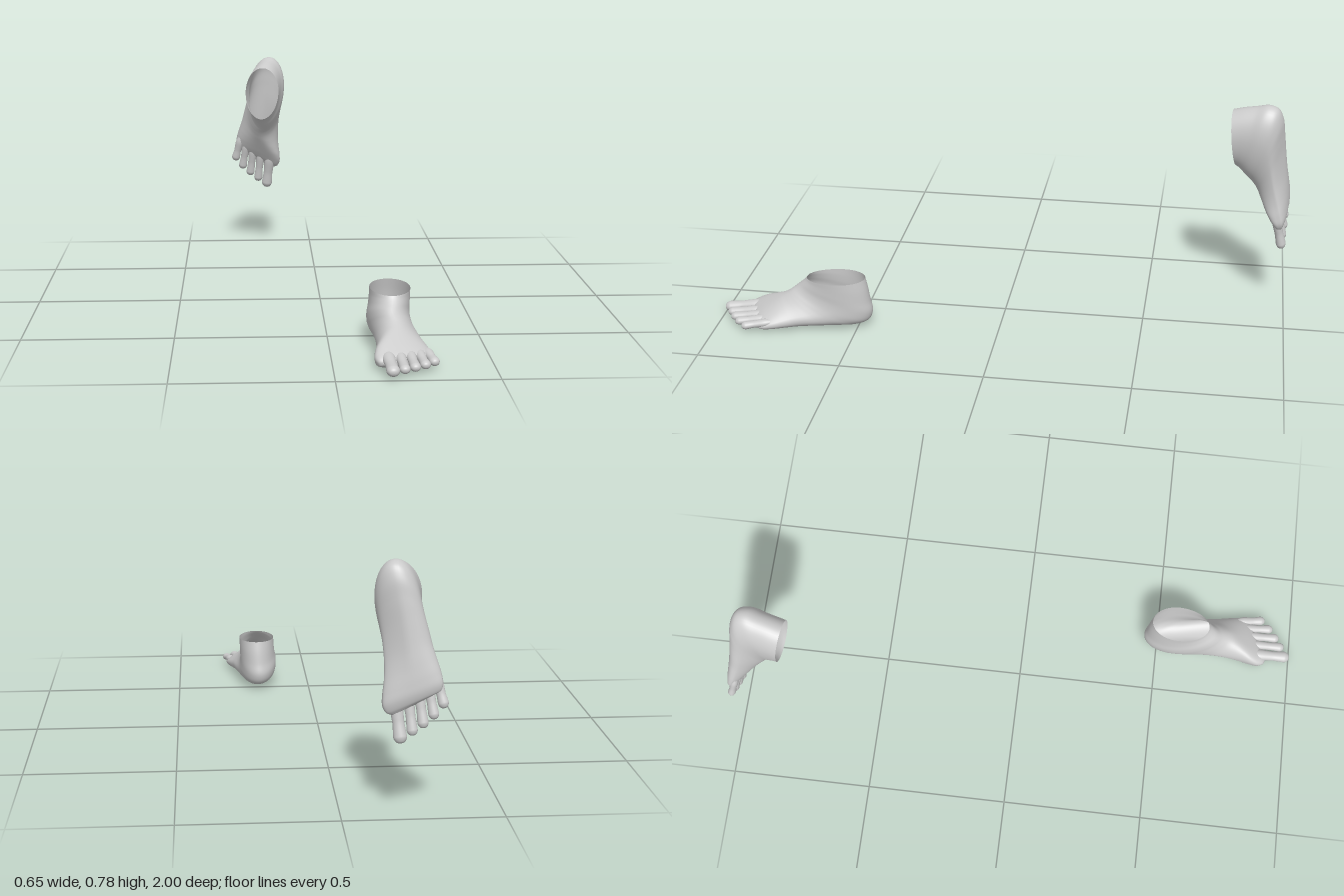
import * as THREE from 'three';

const material = new THREE.MeshStandardMaterial({ color: 0xcccccc, side: THREE.DoubleSide });
const CENTRE = [0.2, 0.1, 0.72];

// Rings fan from the ankle opening, round the heel, to the toe roots:
// dorsal z, y | sole z, y | centre x, half width
const RINGS = [
  [0.682, 0.180, 0.472, 0.186, 0.199, 0.066],
  [0.688, 0.172, 0.463, 0.145, 0.198, 0.066],
  [0.700, 0.160, 0.456, 0.100, 0.196, 0.067],
  [0.715, 0.147, 0.449, 0.058, 0.193, 0.069],
  [0.728, 0.136, 0.462, 0.026, 0.194, 0.070],
  [0.740, 0.127, 0.500, 0.011, 0.198, 0.070],
  [0.753, 0.118, 0.560, 0.008, 0.204, 0.070],
  [0.768, 0.109, 0.630, 0.007, 0.211, 0.071],
  [0.785, 0.100, 0.710, 0.005, 0.216, 0.075],
  [0.805, 0.089, 0.770, 0.002, 0.219, 0.082],
  [0.830, 0.075, 0.820, 0.000, 0.220, 0.090],
  [0.857, 0.059, 0.852, 0.001, 0.221, 0.092],
  [0.876, 0.046, 0.874, 0.008, 0.223, 0.084],
  [0.882, 0.038, 0.882, 0.016, 0.225, 0.070],
];

// Toes from big to little: root x, tip x, tip z, tip radius, length
const TOES = [
  [0.166, 0.176, 1.000, 0.021, 0.150],
  [0.205, 0.213, 0.978, 0.017, 0.135],
  [0.237, 0.247, 0.957, 0.017, 0.130],
  [0.266, 0.281, 0.932, 0.0165, 0.120],
  [0.292, 0.313, 0.900, 0.0165, 0.105],
];

const signedPow = (v, e) => Math.sign(v) * Math.pow(Math.abs(v), e);

function bodyGeometry() {
  const curve = (a, b, c) =>
    new THREE.CatmullRomCurve3(RINGS.map((r) => new THREE.Vector3(r[a], r[b], r[c])));
  const dorsal = curve(0, 1, 4);
  const sole = curve(2, 3, 5);
  const rows = 78, sides = 48;
  const pos = [], index = [];
  for (let i = 0; i <= rows; i++) {
    const t = i / rows;
    const d = dorsal.getPoint(t), p = sole.getPoint(t);
    const fore = THREE.MathUtils.smoothstep(t, 0.35, 0.8);
    const mid = Math.exp(-(((t - 0.58) / 0.14) ** 2));
    const waist = 0.46 - 0.08 * fore;
    for (let j = 0; j < sides; j++) {
      const a = (j / sides) * Math.PI * 2;
      const v = signedPow(Math.sin(a), Math.sin(a) < 0 ? 1 - 0.3 * fore : 1);
      const u = signedPow(Math.cos(a), 1 - 0.2 * fore);
      const up = Math.max(0, v), down = Math.max(0, -v);
      const f = v > 0 ? waist + (1 - waist) * v : waist + waist * v;
      // instep ridge leans to the inner side, arch lifts the inner sole
      const x = d.z + p.z * u * (1 - 0.15 * mid * up) - 0.018 * fore * up;
      const y = p.y + (d.y - p.y) * f + 0.022 * mid * down * Math.max(0, -u) - 0.006 * fore * up * u;
      const z = p.x + (d.x - p.x) * f - 0.03 * fore * u;
      pos.push(x, y, z);
      if (i < rows) {
        const k = (j + 1) % sides, r = i * sides, s = r + sides;
        index.push(r + j, r + k, s + k, r + j, s + k, s + j);
      }
    }
  }
  // rounded closure behind the toes
  const tip = pos.length / 3;
  pos.push(0.225, 0.027, 0.886);
  for (let j = 0; j < sides; j++) index.push(rows * sides + j, rows * sides + ((j + 1) % sides), tip);
  const g = new THREE.BufferGeometry();
  g.setAttribute('position', new THREE.Float32BufferAttribute(pos, 3));
  g.setIndex(index);
  g.computeVertexNormals();
  return g;
}

function toeGeometry([rootX, tipX, tipZ, radius, length]) {
  // slim neck and a round pad, from root to tip
  const pad = radius / length;
  const profile = new THREE.SplineCurve([
    [0.7, 0], [0.98, 0.2], [0.9, 0.45], [0.86, 0.6], [0.97, 1 - 1.35 * pad],
    [0.97, 1 - 0.8 * pad], [0.72, 1 - 0.3 * pad], [0.4, 1 - 0.08 * pad], [0, 1],
  ].map(([r, s]) => new THREE.Vector2(r * radius, s * length)));
  const points = profile.getPoints(32);
  points.forEach((p) => { p.x = Math.max(0, p.x); });
  const g = new THREE.LatheGeometry(points, 24);
  g.rotateX(Math.PI / 2);
  g.scale(1, 0.84, 1);
  g.translate(0, 0, -length);
  g.rotateX(0.13);
  g.rotateY(Math.atan2(tipX - rootX, length));
  g.translate(tipX, 0.022, tipZ);
  return g;
}

// Mirror across x and restore the winding
function mirror(g) {
  g.scale(-1, 1, 1);
  const a = g.index.array;
  for (let i = 0; i < a.length; i += 3) [a[i], a[i + 1]] = [a[i + 1], a[i]];
}

function makeFoot(name, mirrored) {
  const foot = new THREE.Group();
  foot.name = name;
  const add = (g, part) => {
    g.translate(-CENTRE[0], -CENTRE[1], -CENTRE[2]);
    if (mirrored) mirror(g);
    const mesh = new THREE.Mesh(g, material);
    mesh.name = part;
    foot.add(mesh);
  };
  add(bodyGeometry(), 'footBody');
  TOES.forEach((toe, i) => add(toeGeometry(toe), i === 0 ? 'bigToe' : `toe${i + 1}`));
  return foot;
}

export function createModel() {
  const model = new THREE.Group();
  model.name = 'pairOfFeet';

  // left foot flat on the ground
  const left = makeFoot('leftFoot', false);
  left.position.set(...CENTRE);

  // right foot lifted behind, toes pointing down
  const right = makeFoot('rightFoot', true);
  right.rotation.set(Math.PI / 2 + 0.085, -0.14, -0.08, 'ZYX');
  right.position.set(-0.195, 0.507, -0.882);

  model.add(left, right);
  return model;
}
